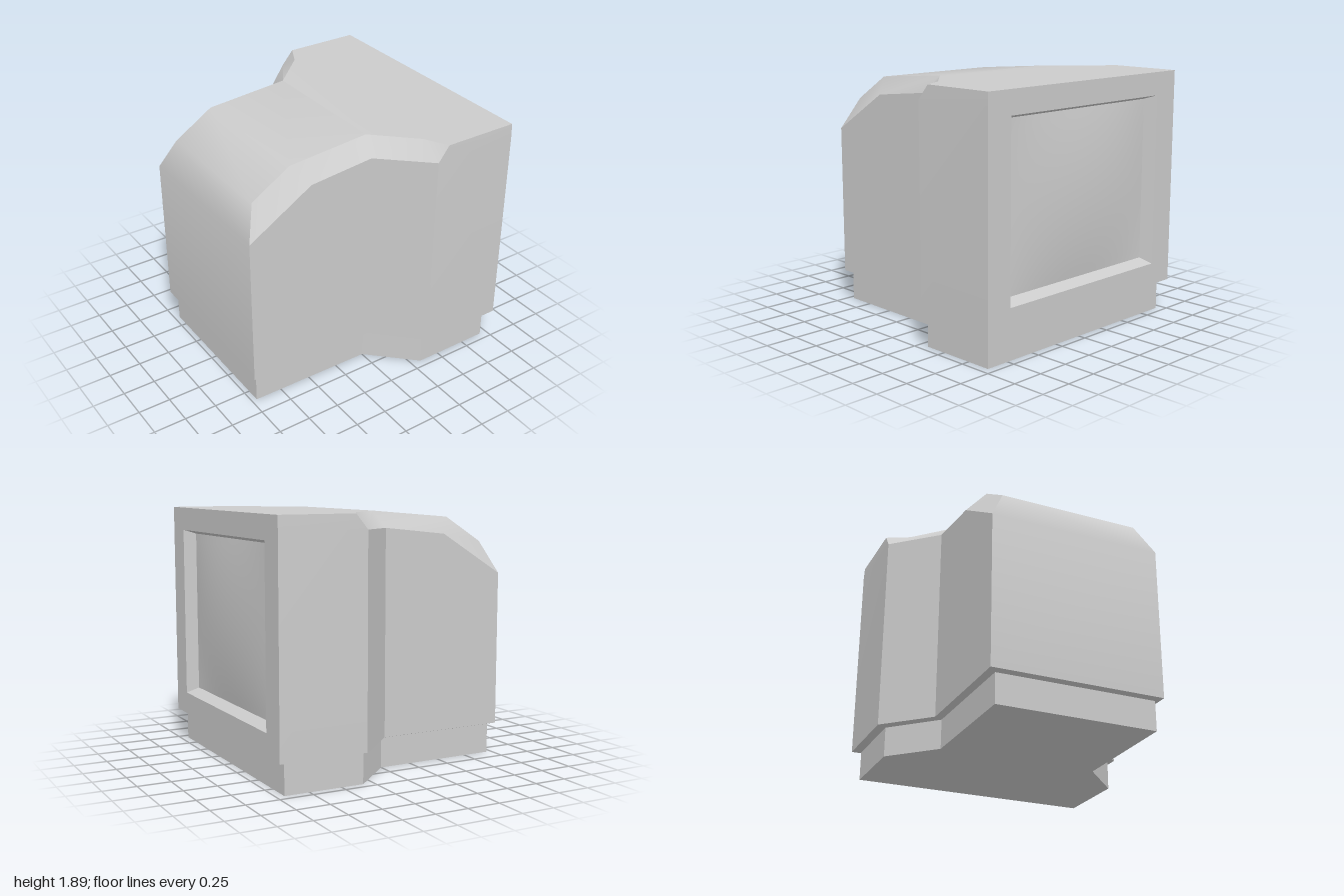
import * as THREE from 'three';
import { toCreasedNormals } from 'three/addons/utils/BufferGeometryUtils.js';

const material = new THREE.MeshStandardMaterial({ color: 0xcccccc });
const V = (x, y, z) => new THREE.Vector3(x, y, z);

// Collects counter-clockwise quads, optionally with their mirror image across z = 0.
class Skin {
  constructor() { this.points = []; }
  tri(a, b, c) {
    if (b.clone().sub(a).cross(c.clone().sub(a)).length() < 1e-6) return;
    for (const p of [a, b, c]) this.points.push(p.x, p.y, p.z);
  }
  quad(a, b, c, d) { this.tri(a, b, c); this.tri(a, c, d); }
  pair(...q) {
    this.quad(...q);
    const [a, b, c, d] = q.map(flip);
    this.quad(d, c, b, a);
  }
  mesh(name, crease) {
    const g = new THREE.BufferGeometry();
    g.setAttribute('position', new THREE.Float32BufferAttribute(this.points, 3));
    const m = new THREE.Mesh(toCreasedNormals(g, crease), material);
    m.name = name;
    return m;
  }
}
const flip = (p) => V(p.x, p.y, -p.z);

const RIM = 0.24, LIP = 0.225;

// Columns along one side: wall x, z, shoulder height, then the top edge point.
const columns = [
  [-1, 0.66, 1.41, -0.9, 1.65, 0.54],
  [-0.5, 0.665, 1.72, -0.6, 1.84, 0.54],
  [0, 0.67, 1.775, 0.04, 1.895, 0.54],
  [0.33, 1, 1.785, 0.33, 1.895, 0.82],
  [0.33, 1, 1.785, 0.42, 1.895, 0.995],
  [1, 1, 1.8, 1, 1.895, 0.995],
].map(([x, z, y, tx, ty, tz]) => ({
  rim: V(x, RIM, z), shoulder: V(x, y, z), top: V(tx, ty, tz),
}));

// Base outline on the same side, from back to front.
const baseSide = [[-0.96, 0.61], [0, 0.62], [0.33, 0.94], [0.94, 0.94]];

function createHousing() {
  const s = new Skin();
  for (let i = 0; i < columns.length - 1; i++) {
    const a = columns[i], b = columns[i + 1];
    s.pair(a.rim, b.rim, b.shoulder, a.shoulder);          // side wall
    s.pair(a.shoulder, b.shoulder, b.top, a.top);          // bevel
    s.quad(a.top, b.top, flip(b.top), flip(a.top));        // roof
  }
  // sloped back edge of the roof and back wall
  const k = columns[0];
  s.quad(k.shoulder, k.top, flip(k.top), flip(k.shoulder));
  s.quad(flip(k.rim), k.rim, k.shoulder, flip(k.shoulder));
  // underside lip running in to the base
  const rims = [0, 2, 3, 5].map((i) => columns[i].rim);
  const lows = baseSide.map(([x, z]) => V(x, LIP, z));
  for (let i = 0; i < 3; i++) s.pair(lows[i], lows[i + 1], rims[i + 1], rims[i]);
  s.quad(flip(lows[0]), lows[0], rims[0], flip(rims[0]));
  s.quad(lows[3], flip(lows[3]), flip(rims[3]), rims[3]);
  return s.mesh('housing', 0.65);
}

// Screen surround: flat frame, then walls sinking to the screen.
function createBezel() {
  const s = new Skin();
  const rect = (x, z, y0, y1) => [V(x, y0, z), V(x, y0, -z), V(x, y1, -z), V(x, y1, z)];
  const rings = [rect(1, 1, RIM, 1.895), rect(1, 0.785, 0.41, 1.72), rect(0.91, 0.745, 0.45, 1.69)];
  for (let r = 0; r < 2; r++) {
    for (let i = 0; i < 4; i++) {
      const j = (i + 1) % 4;
      s.quad(rings[r][i], rings[r][j], rings[r + 1][j], rings[r + 1][i]);
    }
  }
  return s.mesh('screenBezel', 0.3);
}

// Gently bulging glass.
function createScreen() {
  const w = 1.49, h = 1.24;
  const g = new THREE.PlaneGeometry(w, h, 20, 20);
  const p = g.attributes.position;
  for (let i = 0; i < p.count; i++) {
    const u = (2 * p.getX(i)) / w, v = (2 * p.getY(i)) / h;
    p.setZ(i, 0.05 * (1 - u * u) * (1 - v * v));
  }
  g.computeVertexNormals();
  g.rotateY(Math.PI / 2);
  const m = new THREE.Mesh(g, material);
  m.position.set(0.91, 1.07, 0);
  m.name = 'screen';
  return m;
}

// Plinth following the housing outline, slightly inset.
function createBase() {
  const near = baseSide.map(([x, z]) => new THREE.Vector2(x, -z));
  const far = baseSide.map(([x, z]) => new THREE.Vector2(x, z)).reverse();
  const g = new THREE.ExtrudeGeometry(new THREE.Shape([...near, ...far]), { depth: LIP, bevelEnabled: false });
  g.rotateX(-Math.PI / 2);
  const m = new THREE.Mesh(g, material);
  m.name = 'base';
  return m;
}

export function createModel() {
  const group = new THREE.Group();
  group.name = 'monitor';
  group.add(createHousing(), createBezel(), createScreen(), createBase());
  return group;
}
